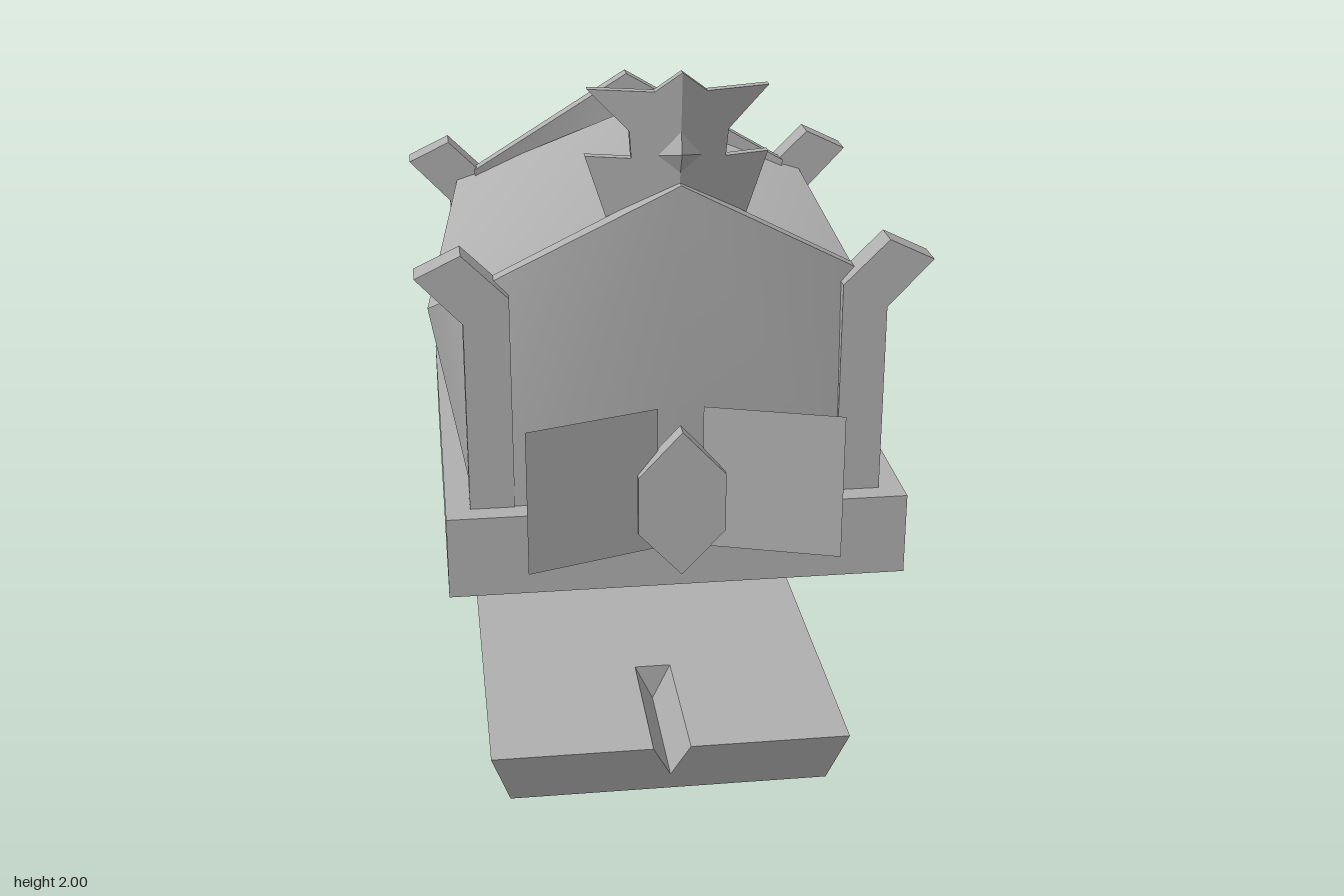
import * as THREE from 'three';
import { toCreasedNormals } from 'three/addons/utils/BufferGeometryUtils.js';

const CZ = -0.055; // middle of the bed from front to back

// Closed solid between two outlines, each anticlockwise seen from the front
function loft(front, back, crease = 0.3) {
  const n = front.length, idx = [];
  for (let i = 1; i < n - 1; i++) idx.push(0, i, i + 1, n, n + i + 1, n + i);
  for (let i = 0; i < n; i++) {
    const j = (i + 1) % n;
    idx.push(i, n + i, n + j, i, n + j, j);
  }
  return surface([...front, ...back], idx, crease);
}

function surface(points, idx, crease) {
  const g = new THREE.BufferGeometry();
  g.setAttribute('position', new THREE.Float32BufferAttribute(points.flat(), 3));
  g.setIndex(idx);
  return toCreasedNormals(g, crease);
}

function plate(points, z, depth) {
  const shape = new THREE.Shape(points.map(([x, y]) => new THREE.Vector2(x, y)));
  return new THREE.ExtrudeGeometry(shape, { depth, bevelEnabled: false }).translate(0, 0, z);
}

export function createModel() {
  const model = new THREE.Group();
  const grey = new THREE.MeshStandardMaterial({ color: 0xb0b0b0, side: THREE.DoubleSide });
  grey.name = 'plain grey';
  const add = (name, geometry, parent = model) => {
    const m = new THREE.Mesh(geometry, grey);
    m.name = name;
    parent.add(m);
    return m;
  };

  // Lower tapered slab, with a V groove in the front half of its top
  const groove = [[0, 0.055, 0.394], [-0.05, 0.16, 0.43], [-0.48, 0.16, 0.43], [-0.43, 0, 0.375],
    [0.43, 0, 0.375], [0.48, 0.16, 0.43], [0.05, 0.16, 0.43]];
  add('lowerSlabFront', loft(groove, groove.map(([x, y]) => [x, y, 0])));
  const trapezoid = [[-0.48, 0.16, -0.54], [-0.43, 0, -0.485], [0.43, 0, -0.485], [0.48, 0.16, -0.54]];
  add('lowerSlabBack', loft(trapezoid.map(([x, y]) => [x, y, 0]), trapezoid));

  // Upper base
  add('base', new THREE.BoxGeometry(1.14, 0.21, 1.19).translate(0, 0.815, -0.05));

  // Four posts with heads bent outward
  const post = [[0.4, 0.92], [0.51, 0.92], [0.51, 1.4], [0.62, 1.517], [0.51, 1.57], [0.4, 1.46]];
  for (const s of [-1, 1]) {
    for (const z of [0.41, -0.61]) add('post', plate(post.map(([x, y]) => [s * x, y]), z, 0.08));
  }

  // Peaked end walls, leaning out at the centre
  const outer = [[0, 1.735, 0.595], [-0.44, 1.49, 0.505], [-0.42, 0.92, 0.54],
    [0, 0.92, 0.545], [0.42, 0.92, 0.54], [0.44, 1.49, 0.505]];
  const inner = outer.map(([x, y, z]) => [x, y, z - (x ? 0.04 : 0.05)]);
  for (const [name, turn] of [['frontWall', 0], ['backWall', Math.PI]]) {
    const wall = add(name, loft(outer, inner, 0.6));
    wall.position.z = CZ;
    wall.rotation.y = turn;
  }

  // Saddle-shaped top: a ridge along the middle, dipping halfway back
  const top = [], idx = [];
  for (const t of [1, 0, -1]) {
    for (const s of [-1, 0, 1]) {
      top.push(t ? [s * 0.49, s ? 1.46 : 1.635, t * (s ? 0.475 : 0.52)] : [s * 0.59, s ? 1.25 : 1.41, 0]);
    }
  }
  for (const a of [0, 1, 3, 4]) idx.push(a, a + 1, a + 4, a, a + 4, a + 3);
  add('saddleTop', surface(top, idx, 1.2)).position.z = CZ;

  // Side walls, bulging outward at the dip
  for (const s of [-1, 1]) {
    const side = [[0.59, 1.25, 0], [0.49, 1.46, 0.475], [0.5, 0.92, 0.475],
      [0.52, 0.92, 0], [0.5, 0.92, -0.475], [0.49, 1.46, -0.475]].map(([x, y, z]) => [s * x, y, z]);
    const fan = [];
    for (let i = 1; i < 5; i++) fan.push(0, ...(s < 0 ? [i + 1, i] : [i, i + 1]));
    // outward winding: the fan above runs front, bottom, back
    add('sideWall', surface(side, fan, 0.6)).position.z = CZ;
  }

  // Star crest, folded along its middle and leaning forward
  const star = new THREE.Group();
  star.name = 'starCrest';
  model.add(star);
  const half = [[0, 2], [0.06, 1.952], [0.21, 1.952], [0.115, 1.855], [0.11, 1.79],
    [0.215, 1.79], [0.16, 1.62], [0, 1.6]];
  const fold = (x, y) => 0.5 - 0.3 * Math.abs(x) + 0.13 * (y - 1.8);
  for (const s of [-1, 1]) {
    const g = plate(half.map(([x, y]) => [s * x, y]), 0, 0.025);
    const p = g.attributes.position;
    for (let i = 0; i < p.count; i++) p.setZ(i, p.getZ(i) + fold(p.getX(i), p.getY(i)));
    g.computeVertexNormals();
    add('starHalf', g, star);
  }
  // Small faceted stud in the middle of the star
  const rim = [[0, 1.86], [-0.05, 1.8], [0, 1.76], [0.05, 1.8]].map(([x, y]) => [x, y, fold(x, y) + 0.026]);
  add('starStud', surface([[0, 1.81, 0.55], ...rim], [0, 1, 2, 0, 2, 3, 0, 3, 4, 0, 4, 1], 0.1), star);

  // Two thin panels opening forward, either side of a hexagonal boss
  for (const s of [-1, 1]) {
    const panel = add('frontPanel', new THREE.PlaneGeometry(Math.hypot(0.325, 0.105), 0.37));
    panel.position.set(s * 0.2175, 1.005, 0.6075);
    panel.rotation.y = -s * Math.atan2(0.105, 0.325);
  }
  add('hexBoss', plate([[0, 1.14], [-0.107, 1.025], [-0.107, 0.875], [0, 0.76],
    [0.107, 0.875], [0.107, 1.025]], 0.545, 0.045));

  return model;
}
